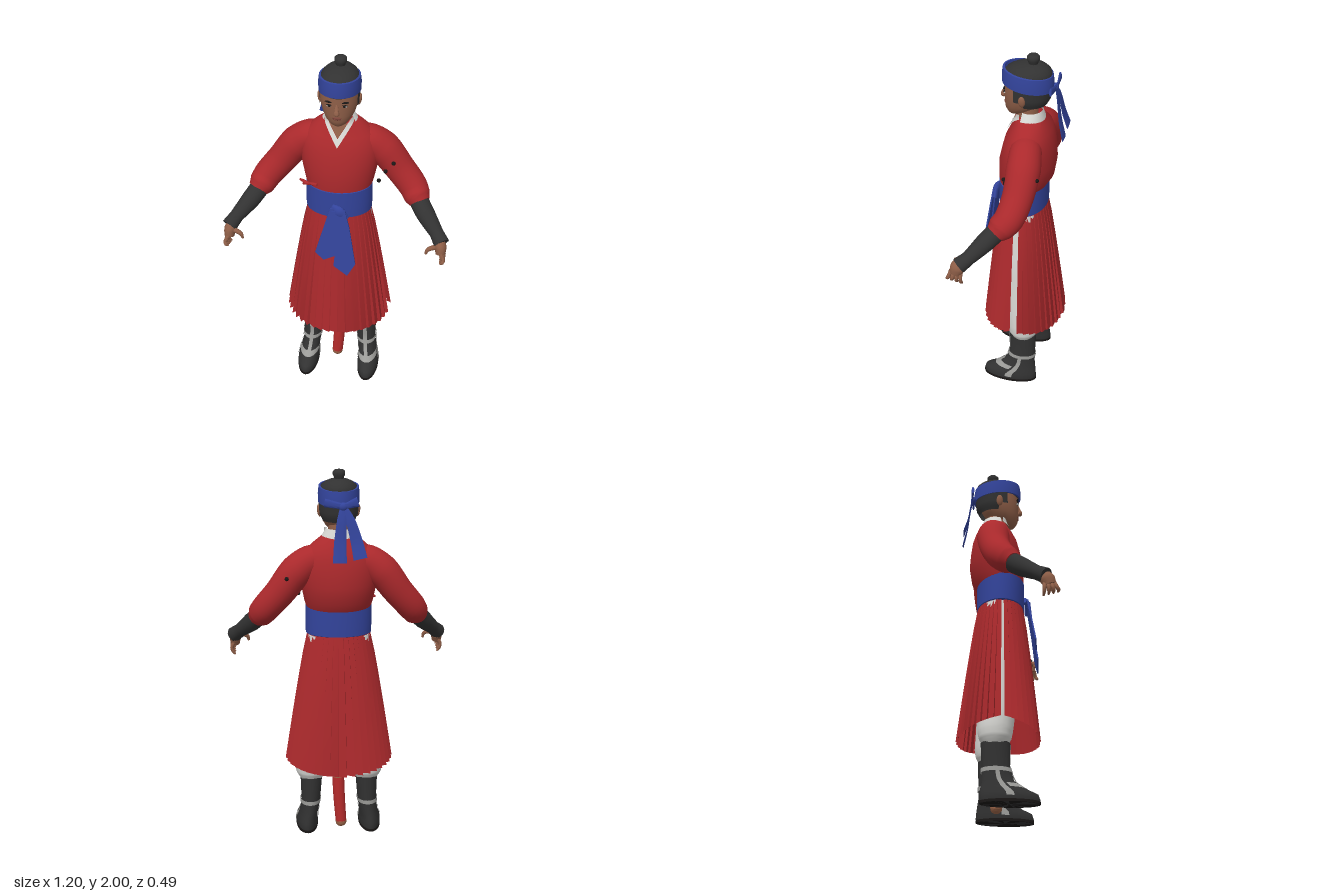
import * as THREE from 'three';
import { toCreasedNormals } from 'three/addons/utils/BufferGeometryUtils.js';

const mat = (name, color, side = THREE.FrontSide) => {
  const m = new THREE.MeshStandardMaterial({ color, side });
  m.name = name;
  return m;
};
const V = (x, y, z) => new THREE.Vector3(x, y, z);
const lerp = THREE.MathUtils.lerp;
const PI = Math.PI;

// Surface through a list of point rings; closed rings may be capped.
function skin(rings, closed = true, caps = true, crease = 0.9) {
  const n = rings[0].length, pos = [], idx = [];
  rings.forEach(r => r.forEach(p => pos.push(p.x, p.y, p.z)));
  for (let i = 0; i < rings.length - 1; i++)
    for (let j = 0; j < (closed ? n : n - 1); j++) {
      const k = (j + 1) % n, a = i * n + j, b = i * n + k;
      idx.push(a, a + n, b, b, a + n, b + n);
    }
  if (closed && caps) [0, rings.length - 1].forEach((r, top) => {
    const c = V(0, 0, 0);
    rings[r].forEach(p => c.addScaledVector(p, 1 / n));
    const ci = pos.length / 3;
    pos.push(c.x, c.y, c.z);
    for (let j = 0; j < n; j++) {
      const a = r * n + j, b = r * n + (j + 1) % n;
      top ? idx.push(ci, b, a) : idx.push(ci, a, b);
    }
  });
  const g = new THREE.BufferGeometry();
  g.setAttribute('position', new THREE.Float32BufferAttribute(pos, 3));
  g.setIndex(idx);
  return toCreasedNormals(g, crease);
}

// Section rows are [y, halfWidth, centreZ, halfDepth, centreX].
function surf(rows, y, a, off = 0) {
  let i = 0;
  while (i < rows.length - 2 && y > rows[i + 1][0]) i++;
  const p = rows[i], q = rows[i + 1], t = THREE.MathUtils.clamp((y - p[0]) / (q[0] - p[0]), 0, 1);
  const [rx, zc, rz, cx] = [1, 2, 3, 4].map(k => lerp(p[k] || 0, q[k] || 0, t));
  return V(cx + (rx + off) * Math.cos(a), y, zc + (rz + off) * Math.sin(a));
}
const loft = (rows, seg = 32, caps = true, tilt = 0) => skin(rows.map(r => Array.from({ length: seg }, (_, j) => {
  const p = surf([r, [r[0] + 1, ...r.slice(1)]], r[0], j / seg * 2 * PI);
  p.y += tilt * p.z;
  return p;
})), true, caps);
// Open strip lying on a lofted surface.
const strip = (rows, y0, y1, a0, a1, off = 0.004, nu = 12, nv = 8) => skin(Array.from({ length: nv + 1 }, (_, i) =>
  Array.from({ length: nu + 1 }, (_, j) => surf(rows, lerp(y0, y1, i / nv), lerp(a0, a1, j / nu), off))), false);

// Tapered tube along a smooth path; flat squashes it along ref.
function limb(pts, radii, flat = 1, ref = V(0, 0, 1), seg = 16) {
  const curve = new THREE.CatmullRomCurve3(pts.map(p => V(...p)));
  const n = (pts.length - 1) * 5, rings = [];
  for (let i = 0; i <= n; i++) {
    const t = i / n, f = t * (pts.length - 1), k = Math.min(Math.floor(f), pts.length - 2);
    const r = lerp(radii[k], radii[k + 1], f - k), P = curve.getPoint(t), T = curve.getTangent(t);
    const v = ref.clone().addScaledVector(T, -ref.dot(T)).normalize(), u = T.clone().cross(v);
    rings.push(Array.from({ length: seg }, (_, j) => {
      const a = j / seg * 2 * PI;
      return P.clone().addScaledVector(u, r * Math.cos(a)).addScaledVector(v, r * flat * Math.sin(a));
    }));
  }
  return skin(rings);
}

export function createModel() {
  const model = new THREE.Group();
  const D = THREE.DoubleSide;
  const red = mat('red cloth', 0xab292c, D), blue = mat('blue cloth', 0x33449c, D), dark = mat('black leather and hair', 0x323232, D);
  const flesh = mat('skin', 0x8f5f48, D), white = mat('white cloth', 0xd6d6d2, D), grey = mat('grey trim', 0x9b9b98, D);
  const scab = mat('scabbard red', 0xb82c2c), wood = mat('wood', 0x9c6548), lip = mat('lips', 0x7a4339), black = mat('black', 0x1a1716);
  const add = (name, geo, m, parent = model) => {
    const o = new THREE.Mesh(geo, m);
    o.name = name;
    parent.add(o);
    return o;
  };
  const ball = (name, p, s, m, rot = 0) => {
    const o = add(name, new THREE.SphereGeometry(1, 16, 12), m);
    o.position.set(...p); o.scale.set(...s); o.rotation.z = rot;
  };

  // Jacket body
  const torso = [[1.26, .168, -.015, .125], [1.31, .182, -.028, .142], [1.4, .2, -.036, .148], [1.48, .208, -.042, .136],
    [1.54, .2, -.046, .124], [1.585, .175, -.05, .106], [1.625, .13, -.05, .086], [1.66, .085, -.045, .07]];
  add('jacket', loft(torso, 40), red);

  // Neck, V collar and neckline
  add('neck', loft([[1.6, .06, -.04, .062], [1.66, .054, -.03, .056], [1.73, .056, -.025, .06]]), flesh);
  const vee = (y0, y1, off) => skin([0, .25, .5, .75, 1].map(t => Array.from({ length: 25 }, (_, j) => {
    const x = lerp(.076, -.076, j / 24), y = lerp(y0(Math.abs(x)), y1(Math.abs(x)), t);
    const q = surf(torso, y, 0), c = surf(torso, y, PI / 2);
    const zc = q.z;
    return V(x, y, zc + (c.z - zc) * Math.sqrt(Math.max(0, 1 - (x / q.x) ** 2)) + off);
  })), false);
  const edge = x => 1.545 + x * 1.55, inner = x => Math.min(1.69, edge(x) + .042);
  add('collarFront', vee(edge, inner, .008), white);
  add('neckline', vee(inner, x => Math.max(inner(x), 1.66), .005), flesh);
  add('collarBack', strip([[1.64, .1, -.045, .08], [1.695, .066, -.045, .064]], 1.64, 1.695, PI - .45, 2 * PI + .45, 0, 28, 3), white);

  // Head and face
  add('head', loft([[1.665, .026, .036, .026], [1.675, .044, .027, .043], [1.7, .066, .01, .073], [1.73, .083, -.008, .092],
    [1.77, .095, -.018, .106], [1.81, .099, -.024, .112], [1.87, .099, -.03, .118]]), flesh);
  add('nose', limb([[0, 1.805, .083], [0, 1.78, .09], [0, 1.757, .094], [0, 1.75, .084]], [.007, .01, .016, .008]), flesh);
  ball('upperLip', [0, 1.726, .083], [.024, .005, .006], lip);
  ball('lowerLip', [0, 1.718, .081], [.02, .006, .007], lip);
  for (const s of [1, -1]) {
    ball('eye', [s * .037, 1.794, .077], [.016, .006, .006], white);
    ball('pupil', [s * .037, 1.794, .081], [.007, .006, .004], black);
    ball('upperLid', [s * .037, 1.8, .079], [.018, .003, .006], black, -s * .1);
    ball('eyebrow', [s * .039, 1.816, .079], [.022, .005, .006], black, s * .12);
    ball('ear', [s * .101, 1.782, -.025], [.011, .032, .018], flesh, -s * .15);
    add('sideburn', strip([[1.77, .097, -.02, .108], [1.85, .1, -.024, .114]], 1.77, 1.85, PI / 2 - s * 1.57, PI / 2 - s * 1.2), dark);
  }

  // Hair, topknot and headband
  const zc = -.032;
  add('backHair', strip([[1.73, .078, -.04, .085], [1.77, .098, zc, .115], [1.86, .102, zc, .126]], 1.735, 1.86, PI - .08, 2 * PI + .08, .003, 28), dark);
  add('hairCap', loft([[1.84, .099, zc, .122], [1.9, .099, zc, .122], [1.918, .091, -.036, .112], [1.936, .071, -.042, .086],
    [1.948, .045, -.05, .055], [1.954, .015, -.055, .02]]), dark);
  add('topknot', loft([[1.942, .022, -.058, .022], [1.962, .026, -.058, .026], [1.972, .032, -.058, .032], [1.988, .032, -.058, .032],
    [1.997, .024, -.058, .024], [2, .01, -.058, .01]], 20), dark);
  add('headband', loft([[1.836, .098, zc, .122], [1.836, .107, zc, .131], [1.88, .108, zc, .132], [1.916, .104, zc, .127], [1.918, .094, zc, .117]], 40, false, .12), blue);
  ball('headbandKnot', [-.015, 1.825, -.168], [.025, .022, .016], blue);
  for (const [x, y] of [[-.1, 1.565], [.005, 1.545]])
    add('headbandTail', limb([[-.015, 1.83, -.17], [lerp(-.015, x, .4), 1.76, -.185], [lerp(-.01, x, .8), 1.65, -.2], [x, y, -.222]], [.014, .024, .031, .036], .1), blue);
  add('headbandBow', limb([[-.09, 1.85, -.175], [-.02, 1.83, -.175], [.08, 1.845, -.165]], [.026, .014, .022], .3, V(0, 0, 1)), blue);

  // Waist sash with two hanging ends
  add('sash', loft([[1.125, .168, -.014, .12], [1.13, .175, -.014, .128], [1.2, .177, -.014, .129], [1.285, .175, -.014, .129], [1.292, .165, -.014, .12]], 40), blue);
  const ends = [[[-.03, 1.2], [.045, 1.2], [.02, .925], [-.06, .885], [-.105, .93]], [[-.02, 1.19], [.05, 1.2], [.075, 1.1], [.112, .88], [.07, .805], [-.005, .86], [.01, 1.02]]];
  ends.forEach((pts, i) => {
    const g = new THREE.ExtrudeGeometry(new THREE.Shape(pts.map(p => new THREE.Vector2(...p))), { depth: .008, bevelEnabled: false });
    const p = g.attributes.position;
    for (let k = 0; k < p.count; k++) p.setZ(k, p.getZ(k) + .128 + i * .01 + (1.2 - p.getY(k)) * .13);
    g.computeVertexNormals();
    add('sashEnd', g, blue);
  });
  add('sashFold', limb([[-.02, 1.2, .118], [.015, 1.185, .135], [.05, 1.14, .135]], [.02, .034, .024], .5), blue);

  // Side tie of the jacket
  for (const p of [[-.1, 1.325, .105], [-.2, 1.305, .04], [-.18, 1.295, .06]])
    add('jacketTie', limb([[-.15, 1.305, .072], p.map((v, i) => (v + [-.15, 1.318, .085][i]) / 2), p], [.009, .008, .006]), red);

  // Pleated skirt: front and back panels, open at both sides
  const panel = (a0, a1, pleats) => {
    const rows = [];
    for (let i = 0; i <= 6; i++) {
      const t = i / 6, ring = [], grow = Math.pow(t, .85);
      for (let k = 0; k < pleats; k++) for (const e of [0, .92]) {
        const a = lerp(a0, a1, (k + e) / pleats);
        const plain = a < PI && Math.abs(a - 1.75) < .35 ? .25 : 1;
        const w = 1 + (e ? 1 : -1) * (a < PI / 2 || a > 1.5 * PI ? 1 : -1) * plain * lerp(.006, .034, t);
        const hem = .425 - .045 * Math.abs(Math.sin(a)) + (e ? .004 : -.004);
        ring.push(V(lerp(.166, .284, grow) * w * Math.cos(a), lerp(1.14, hem, t), lerp(-.014, -.022, t) + lerp(.123, .216, grow) * w * Math.sin(a)));
      }
      rows.unshift(ring);
    }
    return skin(rows, false, false, .25);
  };
  add('skirtFront', panel(.09, PI - .04, 19), red);
  add('skirtBack', panel(PI + .04, 2 * PI - .1, 19), red);

  // Arms and legs
  for (const s of [1, -1]) {
    const m = pts => pts.map(([x, y, z]) => [s * x, y, z]);
    const side = s > 0 ? 'left' : 'right';
    add(side + 'Sleeve', limb(m([[.08, 1.535, -.055], [.15, 1.525, -.06], [.225, 1.47, -.068], [.31, 1.36, -.062], [.385, 1.27, -.035], [.415, 1.228, 0], [.435, 1.205, .022]]),
      [.07, .082, .088, .08, .076, .07, .052], 1, V(0, 0, 1), 24), red);
    add(side + 'Bracer', limb(m([[.405, 1.235, -.005], [.465, 1.165, .065], [.53, 1.1, .135], [.562, 1.066, .178]]), [.052, .05, .037, .042], 1, V(0, 1, 0), 20), dark);
    add(side + 'Palm', limb(m([[.545, 1.08, .165], [.557, 1.05, .185], [.56, 1.015, .197]]), [.028, .032, .026], 1.25), flesh);
    for (let i = 0; i < 4; i++)
      add(side + 'Finger', limb(m([[.56, 1.03, .168 + .017 * i], [.577, .995, .168 + .021 * i], [.572, .972 + .004 * i, .166 + .024 * i], [.558, .955 + .008 * i, .164 + .024 * i]]), [.011, .01, .009, .005], 1, V(0, 0, 1), 8), flesh);
    add(side + 'Thumb', limb(m([[.545, 1.05, .19], [.515, 1.055, .207], [.492, 1.045, .215], [.484, 1.02, .217]]), [.014, .013, .011, .006], 1, V(0, 0, 1), 8), flesh);

    add(side + 'Trouser', limb(m([[.085, 1.12, -.03], [.11, .8, -.03], [.14, .5, -.04], [.15, .385, -.05], [.152, .345, -.05], [.152, .31, -.05]]), [.08, .1, .094, .09, .083, .062], 1, V(0, 0, 1), 20), white);

    const boot = [[0, .054, .022, .145, .175], [.02, .06, .022, .152, .175], [.05, .058, .018, .146, .174], [.08, .052, -.012, .112, .17],
      [.12, .05, -.036, .082, .162], [.2, .053, -.047, .071, .155], [.32, .06, -.048, .075, .152]].map(r => [...r.slice(0, 4), s * r[4]]);
    add(side + 'Boot', loft(boot), dark);
    add(side + 'Sole', loft([0, .014].map(y => [y, .06, .022, .152, s * .175])), black);
    add(side + 'AnkleStrap', strip(boot, .162, .184, 0, 2 * PI, .005, 32, 2), grey);
    add(side + 'FrontStrap', strip(boot, .085, .32, PI / 2 - .19, PI / 2 + .19), grey);
    add(side + 'InstepStrap', strip(boot, .078, .1, .25, PI - .25, .005, 24, 3), grey);
    for (const a of [0, PI]) add(side + 'SideStrap', strip(boot, .03, .165, a - .13, a + .13), grey);
  }

  // Buttons on the left sleeve
  for (const p of [[.305, 1.478, -.06], [.285, 1.435, .018], [.245, 1.385, .022], [.212, 1.33, .03], [.275, 1.45, -.15]])
    ball('sleeveButton', p, [.011, .011, .011], black);

  // Sword hanging between the legs
  add('scabbard', limb([[-.013, .03, -.035], [-.003, .17, -.035], [.003, .3, -.035]], [.03, .032, .033]), scab);
  add('scabbardTip', limb([[-.015, .004, -.035], [-.014, .015, -.035], [-.013, .034, -.035]], [.02, .029, .031]), wood);
  add('swordGrip', limb([[.003, .3, -.035], [.006, .4, -.035], [.01, .52, -.035]], [.031, .029, .028]), wood);
  add('swordGuard', new THREE.BoxGeometry(.085, .008, .07), black).position.set(.004, .33, -.035);
  return model;
}
